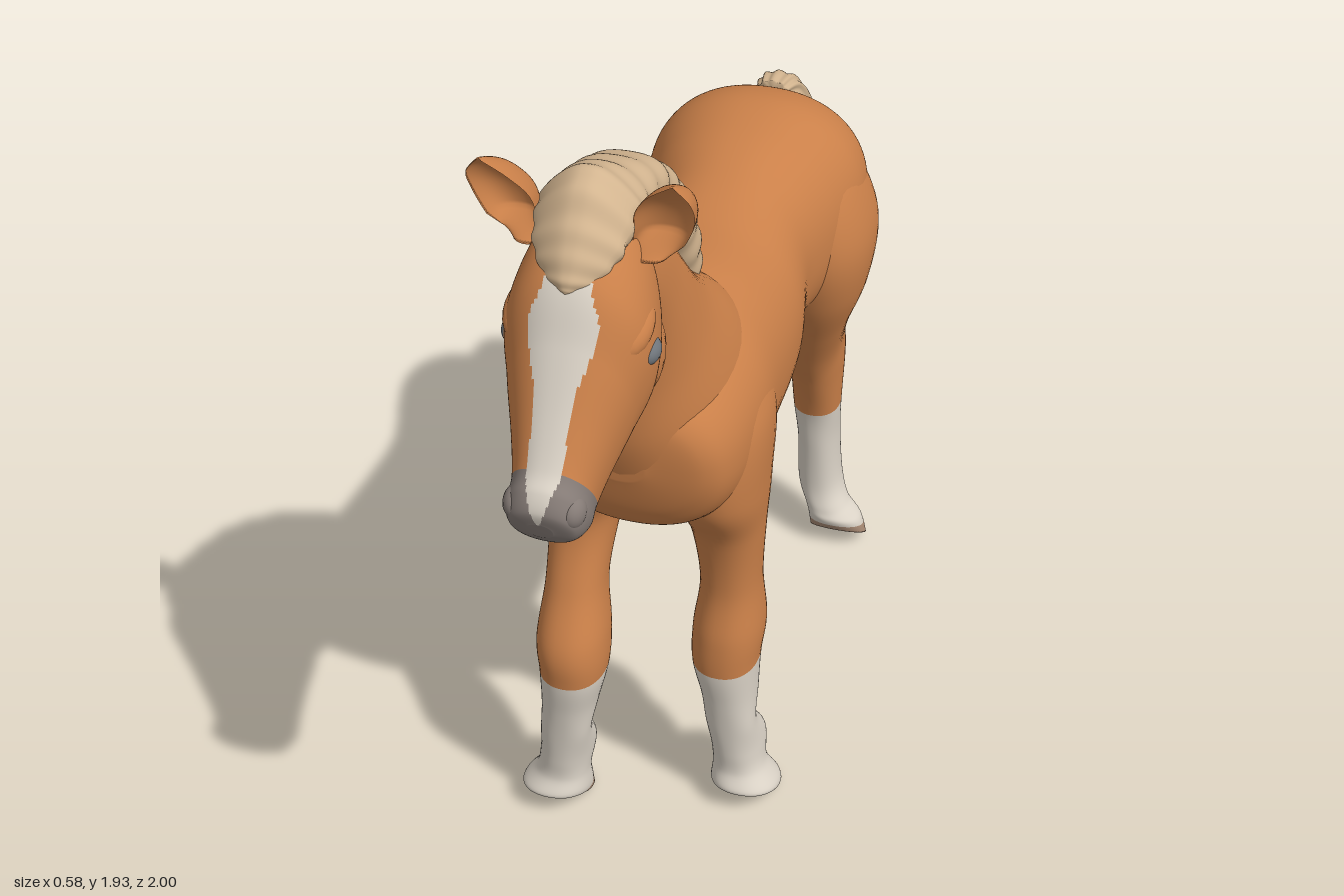
import * as THREE from 'three';

const paint = (name, color) => Object.assign(new THREE.MeshStandardMaterial({ color }), { name });
const coat = paint('chestnut coat', 0xca8049);
const hair = paint('flaxen hair', 0xd2b48f);
const white = paint('white markings', 0xd9d1c5);
const cream = paint('pale belly', 0xc2b4a1);
const grey = paint('grey muzzle', 0x857b76);
const horn = paint('hoof horn', 0xa88a74);
const iris = paint('slate eye', 0x70767c);

// Smooth value of section column k at position i
function blend(rows, i, k) {
  const n = rows.length - 1, a = Math.min(Math.floor(i), n - 1), t = i - a;
  const v = j => rows[Math.max(0, Math.min(n, j))][k];
  const p = v(a), q = v(a + 1), m0 = (q - v(a - 1)) / 2, m1 = (v(a + 2) - p) / 2;
  const t2 = t * t, t3 = t2 * t;
  return p * (2 * t3 - 3 * t2 + 1) + m0 * (t3 - 2 * t2 + t) + q * (3 * t2 - 2 * t3) + m1 * (t3 - t2);
}

// Skin through sections [z1, y1, z2, y2, halfWidth, centreX].
// pick(x, y, z, i, c) gives a material index; shape(c, s, i, a) may alter the outline.
function loft(name, rows, materials, { pick = () => 0, shape = null, power = 2.2, steps = 8, sides = 48 } = {}) {
  const rings = (rows.length - 1) * steps, pos = [], idx = materials.map(() => []);
  const soft = v => Math.sign(v) * Math.abs(v) ** (2 / power);
  const info = [];
  for (let r = 0; r <= rings; r++) {
    const i = r / steps;
    const [z1, y1, z2, y2, w, x] = [0, 1, 2, 3, 4, 5].map(k => blend(rows, i, k));
    for (let j = 0; j < sides; j++) {
      const a = (j / sides) * Math.PI * 2;
      let c = soft(Math.cos(a)), s = soft(Math.sin(a));
      if (shape) [c, s] = shape(c, s, i, a);
      pos.push(x + w * s, (y1 + y2) / 2 + c * (y2 - y1) / 2, (z1 + z2) / 2 + c * (z2 - z1) / 2);
      info.push([i, c]);
    }
  }
  const at = (v, k) => pos[v * 3 + k];
  const tris = [];
  for (let r = 0; r < rings; r++) for (let j = 0; j < sides; j++) {
    const a = r * sides + j, b = r * sides + (j + 1) % sides, c = a + sides, d = b + sides;
    const m = k => (at(a, k) + at(b, k) + at(c, k) + at(d, k)) / 4;
    tris.push([pick(m(0), m(1), m(2), (r + .5) / steps, (info[a][1] + info[b][1]) / 2), [a, b, c, b, d, c]]);
  }
  // End caps
  for (const r of [0, rings]) {
    const first = r * sides, hub = pos.length / 3, mid = [0, 0, 0];
    for (let j = 0; j < sides; j++) for (let k = 0; k < 3; k++) mid[k] += at(first + j, k) / sides;
    pos.push(...mid);
    const m = pick(...mid, r / steps, 0);
    for (let j = 0; j < sides; j++) {
      const a = first + j, b = first + (j + 1) % sides;
      tris.push([m, r ? [a, b, hub] : [b, a, hub]]);
    }
  }
  for (const [m, t] of tris) idx[m].push(...t);
  // Turn all faces outward
  const [A, B, C] = [0, 1, 2].map(() => new THREE.Vector3());
  let volume = 0;
  for (const list of idx) for (let t = 0; t < list.length; t += 3) {
    [A, B, C].forEach((v, k) => v.fromArray(pos, list[t + k] * 3));
    volume += A.dot(B.cross(C));
  }
  const geo = new THREE.BufferGeometry(), all = [];
  idx.forEach((list, m) => {
    if (volume < 0) list.reverse();
    geo.addGroup(all.length, list.length, m);
    for (const v of list) all.push(v);
  });
  geo.setAttribute('position', new THREE.Float32BufferAttribute(pos, 3));
  geo.setIndex(all);
  geo.computeVertexNormals();
  const mesh = new THREE.Mesh(geo, materials);
  mesh.name = name;
  return mesh;
}

function ball(name, material, [x, y, z], [sx, sy, sz], tilt = 0) {
  const mesh = new THREE.Mesh(new THREE.SphereGeometry(1, 24, 16), material);
  mesh.position.set(x, y, z);
  mesh.scale.set(sx, sy, sz);
  mesh.rotation.x = tilt;
  mesh.name = name;
  return mesh;
}

export function createModel() {
  const foal = new THREE.Group();
  foal.name = 'foal';

  // Trunk with pale belly patch, narrower towards the chest
  foal.add(loft('torso', [
    [.515, 1.08, .52, 1.15, .05, 0], [.48, .97, .505, 1.25, .17, 0], [.42, .9, .42, 1.31, .222, 0],
    [.27, .86, .25, 1.35, .242, 0], [.1, .83, .1, 1.355, .235, 0], [-.1, .84, -.1, 1.335, .228, 0],
    [-.28, .88, -.28, 1.358, .2, 0], [-.42, .88, -.42, 1.39, .235, 0], [-.56, .9, -.56, 1.4, .26, 0],
    [-.68, .95, -.68, 1.355, .23, 0], [-.745, 1.05, -.745, 1.26, .13, 0], [-.76, 1.12, -.76, 1.18, .04, 0],
  ], [coat, cream], {
    steps: 12, sides: 80,
    pick: (x, y, z) => y < .915 && z < .46 && z > -.42 && Math.abs(x) < .165 ? 1 : 0,
  }));

  // Neck
  foal.add(loft('neck', [
    [.45, .95, -.06, 1.12, .2, 0], [.495, 1.04, .0, 1.24, .21, 0], [.54, 1.18, .1, 1.345, .185, 0],
    [.552, 1.33, .25, 1.46, .148, 0], [.575, 1.44, .39, 1.62, .125, 0], [.62, 1.53, .51, 1.75, .11, 0],
    [.7, 1.6, .61, 1.82, .09, 0],
  ], [coat]));

  // Head with blaze and muzzle
  foal.add(loft('head', [
    [.56, 1.54, .57, 1.78, .06, 0], [.575, 1.42, .66, 1.83, .12, 0], [.66, 1.375, .785, 1.75, .145, 0],
    [.74, 1.335, .848, 1.635, .122, 0], [.8, 1.295, .907, 1.52, .096, 0], [.845, 1.262, .955, 1.437, .08, 0],
    [.89, 1.25, .985, 1.405, .08, 0], [.95, 1.268, 1, 1.37, .064, 0], [.98, 1.3, .995, 1.34, .025, 0],
  ], [coat, white, grey], {
    steps: 16, sides: 128,
    pick: (x, y, z, i, c) => {
      const half = .035 + .032 * Math.exp(-(((y - 1.66) / .075) ** 2)) - Math.max(0, i - 5) * .011;
      if (c > 0 && i > 1.6 && Math.abs(x) < half) return 1;
      return i > 5 ? 2 : 0;
    },
  }));

  // Mane and forelock, lumpy along the crest and peaked over the brow
  foal.add(loft('mane', [
    [.12, 1.3, .03, 1.375, .015, 0], [.22, 1.36, .13, 1.41, .07, 0], [.3, 1.48, .18, 1.53, .085, 0],
    [.38, 1.6, .27, 1.67, .085, 0], [.48, 1.7, .4, 1.79, .085, 0], [.58, 1.75, .55, 1.86, .09, 0],
    [.65, 1.755, .67, 1.905, .095, 0], [.71, 1.74, .755, 1.83, .085, 0], [.755, 1.725, .8, 1.755, .05, 0],
    [.785, 1.71, .805, 1.725, .012, 0],
  ], [hair], {
    power: 2.5, steps: 16,
    shape: (c, s, i) => {
      const wave = Math.sin(i * 11), peak = .5 * Math.max(0, c) * THREE.MathUtils.smoothstep(i, 4, 6);
      return [c * (1 + .04 * wave * (c > 0 ? 1 : .3)), s * (1 + .03 * wave) * (1 - peak)];
    },
  }));

  // Tail with long strands
  foal.add(loft('tail', [
    [-.69, 1.31, -.68, 1.37, .035, 0], [-.74, 1.27, -.78, 1.345, .055, 0], [-.765, 1.17, -.875, 1.22, .075, 0],
    [-.775, 1.03, -.93, 1.05, .083, 0], [-.79, .85, -.955, .88, .074, 0], [-.82, .67, -.997, .7, .057, 0],
    [-.865, .53, -.985, .55, .038, 0], [-.905, .43, -.93, .43, .012, 0],
  ], [hair], {
    sides: 72,
    shape: (c, s, i, a) => {
      const ridge = 1 + .07 * Math.cos(a * 10 + Math.sin(i * 1.4) * .8);
      return [c * ridge, s * ridge];
    },
  }));

  // White sock below section 6; horn on the sole and up the heel
  const sock = (x, y, z, i, c) => i > 11.4 - .8 * Math.max(0, c) ? 2 : i > 6 ? 1 : 0;

  for (const side of [1, -1]) {
    const label = side > 0 ? 'left' : 'right';

    // Foreleg; the right one steps forward
    const reach = y => side > 0 ? 0 : .13 * THREE.MathUtils.smoothstep(.95 - y, .05, .45);
    const fore = [
      [.36, 1.26, .14, 1.26, .04, .15], [.42, 1.12, .1, 1.12, .1, .15], [.42, .95, .115, .93, .1, .15],
      [.35, .81, .15, .8, .08, .16], [.325, .65, .157, .65, .068, .165], [.347, .52, .14, .52, .08, .163],
      [.35, .425, .163, .435, .076, .16], [.338, .33, .19, .33, .064, .17], [.33, .245, .23, .255, .058, .178],
      [.325, .165, .16, .165, .061, .187], [.325, .11, .19, .1, .062, .195], [.345, .07, .175, .045, .08, .21],
      [.315, .05, .17, .004, .078, .21],
    ].map(([z1, y1, z2, y2, w, x]) => [z1 + reach(y1), y1, z2 + reach(y2), y2, w, x * side]);
    foal.add(loft(label + 'ForeLeg', fore, [coat, white, horn], { pick: sock }));

    // Hind leg with haunch
    const hind = [
      [-.46, 1.33, -.64, 1.33, .05, .12], [-.38, 1.23, -.70, 1.23, .11, .135], [-.36, 1.08, -.738, 1.1, .13, .16],
      [-.4, .93, -.705, .97, .118, .16], [-.48, .78, -.68, .86, .092, .142], [-.555, .65, -.775, .72, .072, .13],
      [-.653, .435, -.79, .45, .06, .13], [-.67, .32, -.813, .33, .053, .133],
      [-.68, .18, -.81, .2, .056, .14], [-.668, .115, -.78, .13, .056, .165], [-.66, .09, -.765, .085, .07, .19],
      [-.67, .06, -.765, .008, .075, .2],
    ].map(r => [...r.slice(0, 5), r[5] * side]);
    hind.splice(6, 0, [-.605, .56, -.808, .61, .066, .13 * side]);
    foal.add(loft(label + 'HindLeg', hind, [coat, white, horn], {
      pick: (x, y, z, i, c) => sock(x, y, z, i > 6 && i < 7 ? 6 : i, c),
    }));

    // Cupped ear, hollow at the front
    foal.add(loft(label + 'Ear', [
      [.69, 1.74, .61, 1.74, .035, .115 * side], [.685, 1.79, .6, 1.785, .05, .14 * side],
      [.7, 1.85, .61, 1.84, .056, .155 * side], [.725, 1.9, .655, 1.895, .04, .17 * side],
      [.738, 1.935, .725, 1.935, .006, .18 * side],
    ], [coat], {
      shape: (c, s, i) => [THREE.MathUtils.lerp(c, c > 0 ? 2 * c - 1 : -1 - 1.3 * c, Math.min(1, i)), s],
    }));

    // Eye, brow, cheek and nostril flare
    foal.add(ball(label + 'Eye', iris, [.127 * side, 1.575, .725], [.028, .028, .037]));
    foal.add(ball(label + 'Brow', coat, [.094 * side, 1.63, .735], [.05, .04, .075], .45));
    foal.add(ball(label + 'Cheek', coat, [.075 * side, 1.5, .635], [.057, .1, .085]));
    foal.add(ball(label + 'Nostril', grey, [.054 * side, 1.355, .955], [.026, .034, .034], -.4));
  }
  return foal;
}
